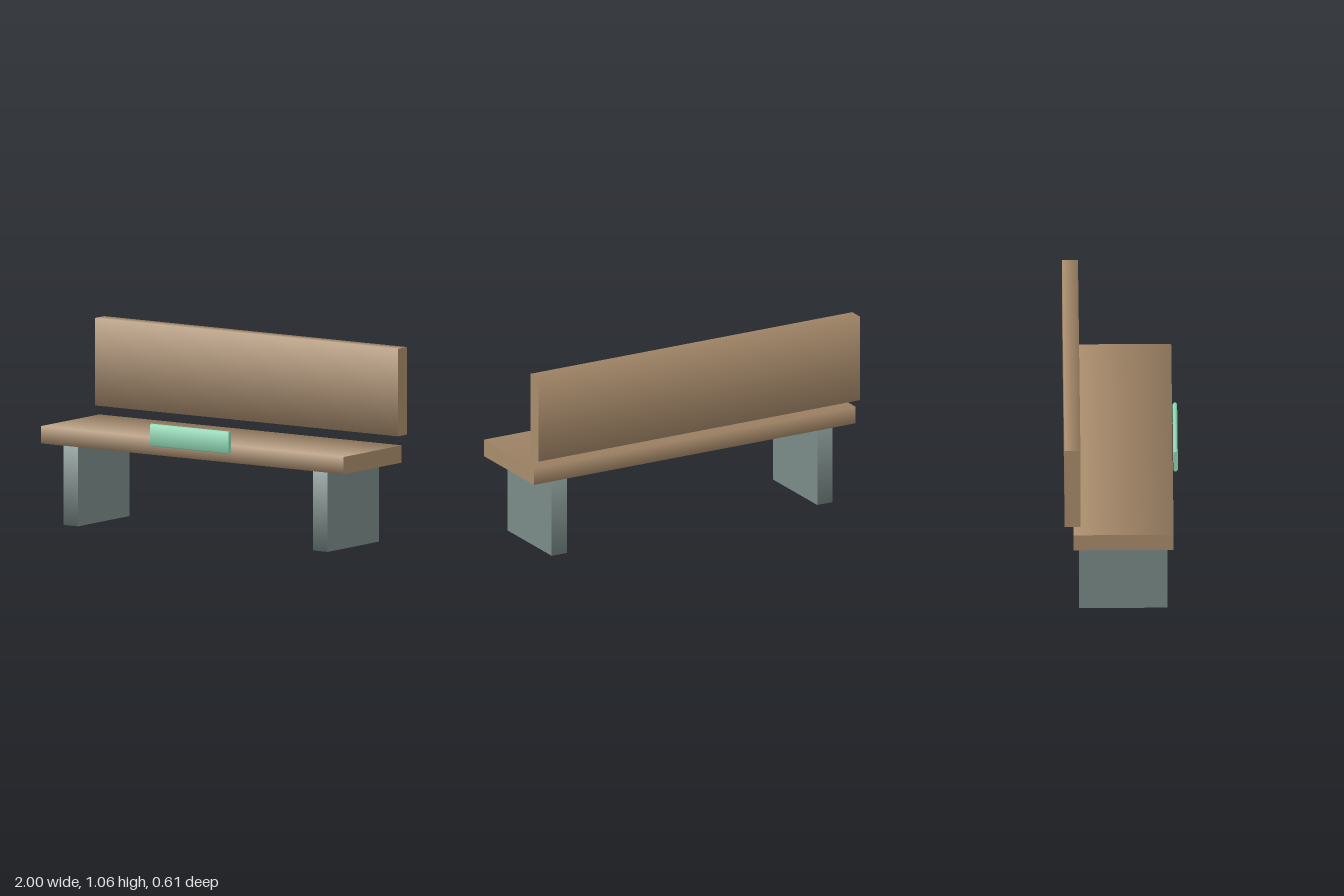
import * as THREE from 'three';

const mat = (name, color) => {
  const m = new THREE.MeshStandardMaterial({ color });
  m.name = name;
  return m;
};

// Bar running along x between two corners; softly shaded around its section, with flat ends.
// Four sides give a square section; eight sides give a section rounded at its top and bottom.
function bar(name, material, [x0, y0, z0], [x1, y1, z1], sides = 4) {
  const g = new THREE.CylinderGeometry(1, 1, 1, sides);
  g.rotateY(Math.PI / sides).rotateZ(Math.PI / 2);
  const r = Math.cos(Math.PI / sides);
  const w = x1 - x0, h = y1 - y0, d = z1 - z0;
  const pos = g.attributes.position;
  for (let i = 0; i < pos.count; i++) {
    const x = pos.getX(i), y = pos.getY(i) / r, z = pos.getZ(i) / r;
    const side = Math.abs(y) < 1e-6 ? 0 : Math.sign(y);
    const py = sides === 4 ? y * h / 2 : y * d / 2 + side * (h - d) / 2;
    pos.setXYZ(i, x * w, py, z * d / 2);
  }
  const mesh = new THREE.Mesh(g, material);
  mesh.name = name;
  mesh.position.set((x0 + x1) / 2, (y0 + y1) / 2, (z0 + z1) / 2);
  return mesh;
}

export function createModel() {
  const wood = mat('wood', 0xa98c6c);
  const stone = mat('grey stone', 0x7a8a88);
  const green = mat('mint green', 0x8fd9b5);

  const bench = new THREE.Group();
  bench.name = 'bench';

  // Seat plank and floating backrest
  bench.add(bar('seat', wood, [-1, 0.437, -0.258], [1, 0.531, 0.281]));
  bench.add(bar('backrest', wood, [-1, 0.584, -0.306], [1, 1.06, -0.221]));

  // Slab legs
  bench.add(bar('leftLeg', stone, [0.775, 0, -0.227], [0.871, 0.437, 0.248]));
  bench.add(bar('rightLeg', stone, [-0.875, 0, -0.227], [-0.779, 0.437, 0.248]));

  // Plaque on the front edge of the seat
  bench.add(bar('plaque', green, [-0.26, 0.487, 0.284], [0.257, 0.608, 0.308], 8));

  return bench;
}
